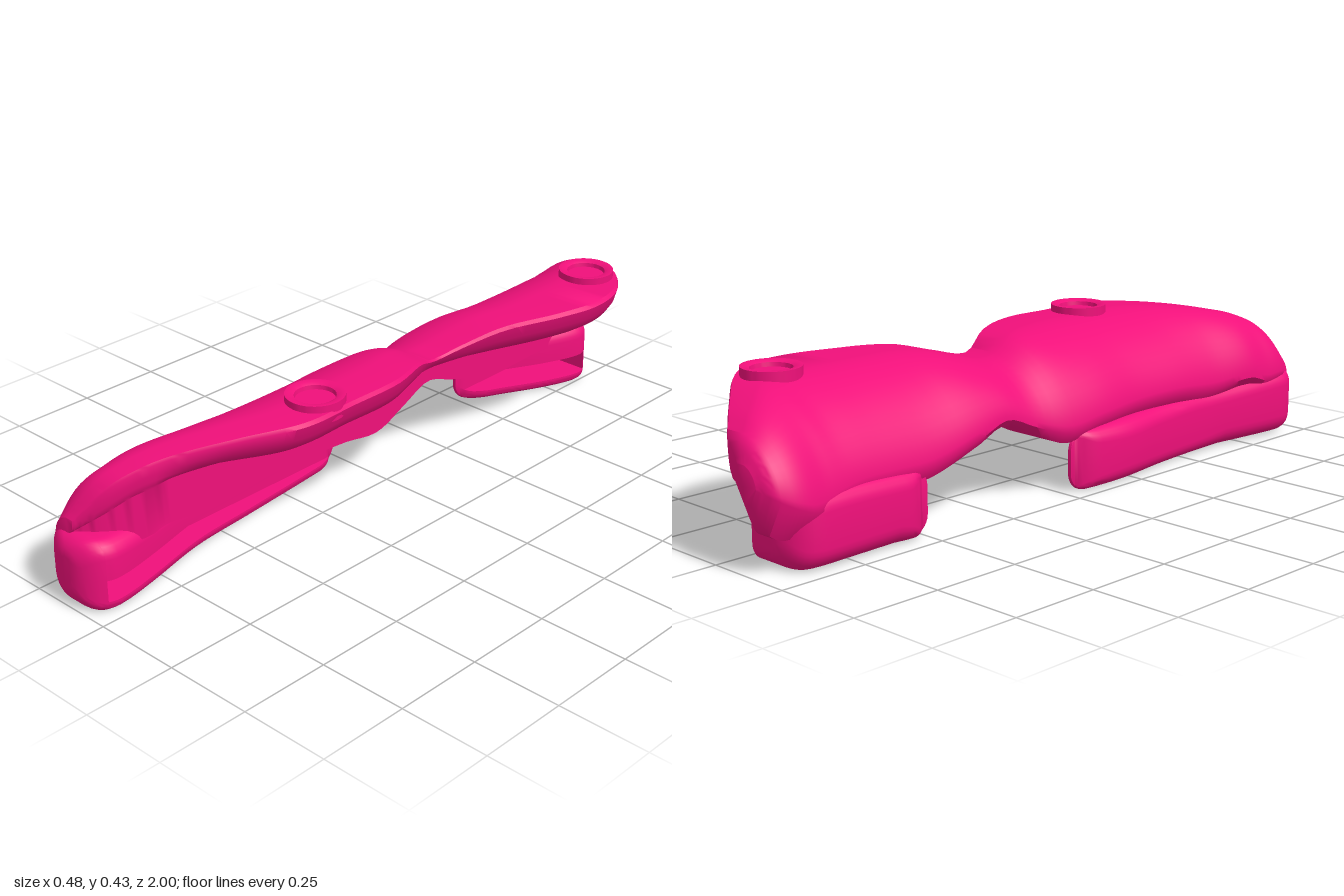
import * as THREE from 'three';
import { toCreasedNormals } from 'three/addons/utils/BufferGeometryUtils.js';

const { lerp, clamp, smoothstep } = THREE.MathUtils;
const material = new THREE.MeshStandardMaterial({ color: 0xf0107a });

// Smoothly interpolates rows whose first entry is z
function track(rows) {
  const curve = new THREE.CubicInterpolant(
    rows.map(r => r[0]), rows.flatMap(r => r.slice(1)), rows[0].length - 1);
  return z => Array.from(curve.evaluate(z));
}

// Skins a stack of counter-clockwise rings ({ z, points }) running from back to front
function loft(name, rings, crease) {
  const n = rings[0].points.length, pos = [], index = [];
  for (const { z, points } of rings) for (const [x, y] of points) pos.push(x, y, z);
  for (let i = 0; i < rings.length - 1; i++) {
    for (let j = 0; j < n; j++) {
      const a = i * n + j, b = i * n + (j + 1) % n;
      index.push(a, b, b + n, a, b + n, a + n);
    }
  }
  const cap = (i, flip) => {
    const contour = rings[i].points.map(p => new THREE.Vector2(...p));
    for (const t of THREE.ShapeUtils.triangulateShape(contour, [])) {
      const [a, b, c] = t.map(k => k + i * n);
      index.push(...(flip ? [a, c, b] : [a, b, c]));
    }
  };
  cap(0, true);
  cap(rings.length - 1, false);
  const geometry = new THREE.BufferGeometry();
  geometry.setAttribute('position', new THREE.Float32BufferAttribute(pos, 3));
  geometry.setIndex(index);
  const mesh = new THREE.Mesh(toCreasedNormals(geometry, crease), material);
  mesh.name = name;
  return mesh;
}

// z, outer left x, right x, top y, bottom y, height of the underside cut
const shellAt = track([
  [-1.00, -0.165, -0.10, 0.27, 0.18, 0.22],
  [-0.985, -0.20, -0.05, 0.31, 0.13, 0.22],
  [-0.95, -0.225, 0.00, 0.345, 0.09, 0.23],
  [-0.90, -0.235, 0.06, 0.375, 0.09, 0.25],
  [-0.82, -0.22, 0.15, 0.405, 0.12, 0.29],
  [-0.72, -0.205, 0.22, 0.41, 0.14, 0.30],
  [-0.60, -0.20, 0.24, 0.41, 0.14, 0.30],
  [-0.48, -0.20, 0.215, 0.41, 0.14, 0.30],
  [-0.30, -0.195, 0.15, 0.405, 0.19, 0.30],
  [-0.20, -0.185, 0.11, 0.38, 0.22, 0.30],
  [-0.10, -0.19, 0.085, 0.36, 0.18, 0.30],
  [0.00, -0.215, 0.125, 0.40, 0.14, 0.30],
  [0.13, -0.22, 0.168, 0.41, 0.155, 0.30],
  [0.30, -0.205, 0.17, 0.41, 0.165, 0.30],
  [0.47, -0.205, 0.168, 0.41, 0.165, 0.30],
  [0.62, -0.21, 0.095, 0.40, 0.155, 0.30],
  [0.77, -0.225, 0.005, 0.375, 0.17, 0.295],
  [0.84, -0.225, -0.03, 0.355, 0.15, 0.28],
  [0.91, -0.222, -0.07, 0.315, 0.16, 0.24],
  [0.97, -0.20, -0.13, 0.23, 0.165, 0.19],
]);

// Arched skin outside, L-shaped cut inside; the back tip pinches into a finger
function shellSection(z) {
  const [xl, xr, yt, yb, yc] = shellAt(z);
  const pinch = smoothstep(-z, 0.82, 1);
  const xi = Math.min(-0.03, xr - 0.02);
  const xu = Math.max(xi + 0.006, xr - 0.11);
  const xc = Math.min(0.08, lerp(xl, xr, 0.72));
  const base = lerp(yb, yt, 0.12 + 0.3 * pinch);
  const low = lerp(xi, Math.min(xi, -0.125), pinch);
  const rim = (u, v) => [lerp(xu, xr, u), lerp(yc, yt, v)];
  const points = [[low, yb], [xi, yc], [xu, yc], rim(0.45, 0.14), rim(0.72, 0.32),
    rim(0.9, 0.58), rim(1, 0.9), [lerp(xr, xc, 0.06), lerp(yc, yt, 0.99)]];
  for (let k = 0; k <= 14; k++) {
    const a = k / 14 * Math.PI / 2, s = Math.sin(a) ** 1.12, c = Math.abs(Math.cos(a)) ** 1.12;
    points.push([xc - (xc - xl) * s, base + (yt - base) * c]);
  }
  points.push([lerp(xl, low, 0.12 + 0.4 * pinch), yb]);
  return points;
}

function makeShell() {
  const rings = [], steps = 110;
  for (let i = 0; i <= steps; i++) {
    // Stations gather towards both rounded tips
    const z = -0.015 - 0.985 * Math.cos(i / steps * Math.PI);
    rings.push({ z, points: shellSection(z) });
  }
  return loft('shell', rings, 0.8);
}

// Rounded bar section with a slot opening to +x
function railSection(l, r, b, t, slotX) {
  const points = [], fit = (r - l) * 0.45;
  const corner = (x, y, sx, sy, size, start) => {
    const radius = Math.min(size, fit);
    for (let k = 0; k <= 6; k++) {
      const a = start + k / 6 * Math.PI / 2;
      points.push([x - sx * radius + radius * Math.cos(a), y - sy * radius + radius * Math.sin(a)]);
    }
  };
  corner(l, b, -1, -1, 0.055, Math.PI);
  corner(r, b, 1, -1, 0.026, Math.PI * 1.5);
  const low = Math.max(0.03, b + 0.028), high = Math.max(0.09, low + 0.01);
  const depth = Math.min(slotX, r);
  points.push([r, low], [depth, low], [depth, high], [r, high]);
  corner(r, t, 1, 1, 0.045, 0);
  corner(l, t, -1, 1, 0.045, Math.PI / 2);
  return points;
}

// Ends are rounded in plan and height; the slot runs from slot0 to slot1
function makeRail(name, z0, z1, slot0, slot1, plan) {
  const planAt = track(plan), stations = [];
  const roundX = 0.085, roundY = 0.05;
  for (let k = 0; k <= 10; k++) {
    const d = roundX * (1 - Math.cos(k / 10 * Math.PI / 2));
    stations.push(z0 + d, z1 - d);
  }
  for (let k = 1; k < 24; k++) stations.push(lerp(z0 + roundX, z1 - roundX, k / 24));
  for (const s of [slot0, slot1]) {
    if (s > z0 && s < z1) stations.push(s - 1e-4, s + 1e-4);
  }
  stations.sort((a, b) => a - b);
  const rings = stations.map(z => {
    const [xl, xr, top] = planAt(z);
    const end = Math.min(z - z0, z1 - z);
    const inset = radius => radius * (1 - Math.sqrt(1 - (1 - clamp(end / radius, 0, 1)) ** 2));
    const dx = Math.min(inset(roundX), (xr - xl) * 0.42), dy = inset(roundY);
    const slotX = z > slot0 && z < slot1 ? -0.17 : 1;
    return { z, points: railSection(xl + dx, xr - dx, dy, top - dy, slotX) };
  });
  return loft(name, rings, 0.7);
}

// Raised ring with a shallow recess
function makeGrommet(name, z) {
  const profile = [[0.078, 0.38], [0.078, 0.429], [0.064, 0.429], [0.054, 0.424],
    [0.052, 0.413], [0, 0.413]];
  const geometry = new THREE.LatheGeometry(profile.map(p => new THREE.Vector2(...p)), 48);
  const mesh = new THREE.Mesh(toCreasedNormals(geometry, 0.6), material);
  mesh.name = name;
  mesh.position.set(0.092, 0, z);
  return mesh;
}

export function createModel() {
  const group = new THREE.Group();
  group.name = 'slottedShell';
  group.add(
    makeShell(),
    makeRail('frontRail', 0.02, 1, 0, 0.95, [
      [0.02, -0.225, -0.16, 0.165], [0.2, -0.24, -0.14, 0.17], [0.4, -0.212, -0.12, 0.17],
      [0.6, -0.2, -0.1, 0.175], [0.8, -0.22, -0.05, 0.185], [0.9, -0.23, -0.03, 0.19],
      [1, -0.23, -0.03, 0.195]]),
    makeRail('backRail', -0.93, -0.49, -0.88, 0, [
      [-0.93, -0.225, 0.004, 0.19], [-0.84, -0.228, 0.004, 0.19], [-0.74, -0.225, -0.03, 0.19],
      [-0.6, -0.22, -0.1, 0.185], [-0.49, -0.215, -0.15, 0.18]]),
    makeGrommet('backGrommet', -0.745),
    makeGrommet('frontGrommet', 0.36),
  );
  return group;
}
